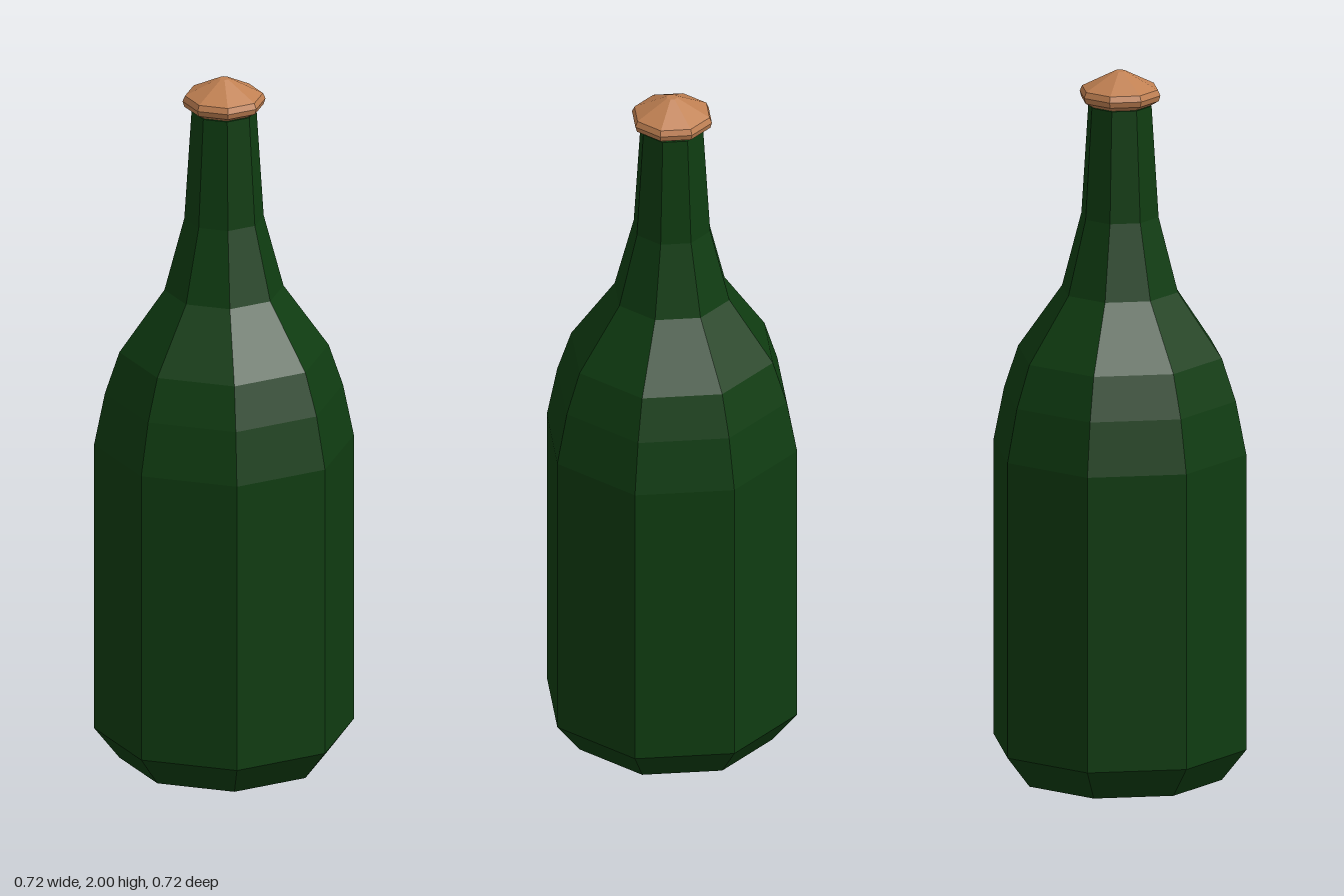
import * as THREE from 'three';

const SIDES = 8;

// Eight-sided turned part from [radius, height] pairs, listed bottom to top
function turned(name, profile, material) {
  const points = profile.map(([r, y]) => new THREE.Vector2(r, y));
  const geometry = new THREE.LatheGeometry(points, SIDES).toNonIndexed();
  geometry.computeVertexNormals();
  const mesh = new THREE.Mesh(geometry, material);
  mesh.name = name;
  return mesh;
}

export function createModel() {
  const glass = new THREE.MeshStandardMaterial({ color: 0x0f3c11, flatShading: true });
  glass.name = 'green glass';
  const copper = new THREE.MeshStandardMaterial({ color: 0xc08052, flatShading: true });
  copper.name = 'copper cap';

  const model = new THREE.Group();
  model.name = 'bottle';

  // Body with a recessed base, sloping shoulders and tapered neck
  model.add(turned('bottleBody', [
    [0, 0.05], [0.14, 0.05], [0.21, 0], [0.29, 0],
    [0.36, 0.09], [0.36, 0.93], [0.33, 1.08], [0.29, 1.2],
    [0.165, 1.38], [0.11, 1.59], [0.09, 1.905], [0, 1.905],
  ], glass));

  // Faceted stopper over the mouth
  model.add(turned('stopper', [
    [0, 1.903], [0.08, 1.903], [0.11, 1.92], [0.115, 1.936],
    [0.108, 1.952], [0.015, 2], [0, 2],
  ], copper));

  return model;
}
